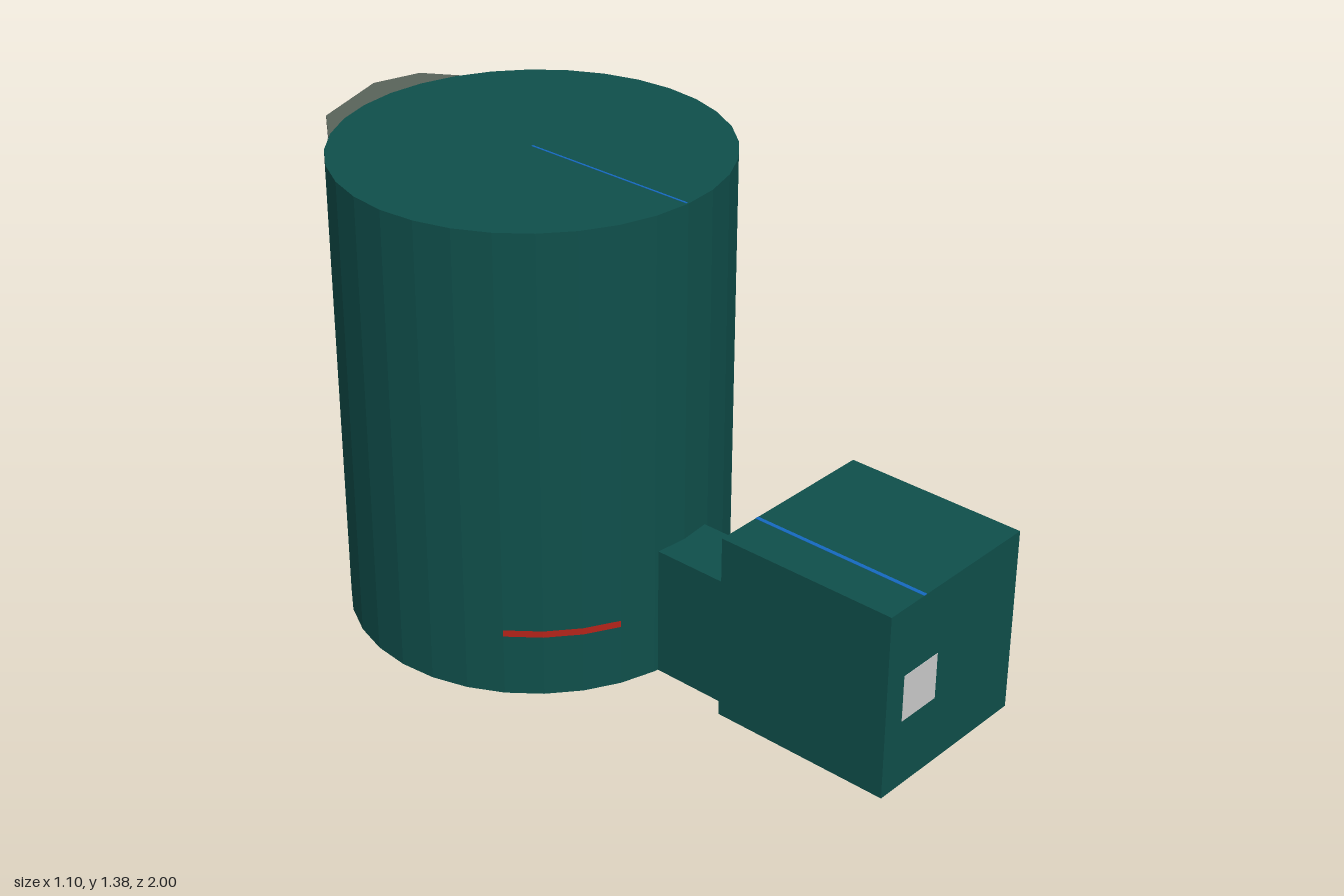
import * as THREE from 'three';
import { ConvexGeometry } from 'three/addons/geometries/ConvexGeometry.js';

const paint = (color) => new THREE.MeshStandardMaterial({ color, flatShading: true, side: THREE.DoubleSide });

export function createModel() {
  const group = new THREE.Group();
  const teal = paint(0x0f4f4b);
  const grey = paint(0xcccccc);
  const blue = paint(0x1569c0);
  const red = paint(0xb4231a);

  const add = (name, geometry, material, x = 0, y = 0, z = 0) => {
    const mesh = new THREE.Mesh(geometry, material);
    mesh.name = name;
    mesh.position.set(x, y, z);
    group.add(mesh);
    return mesh;
  };
  // Box given by its min and max corners
  const block = (name, a, b, material) => {
    const size = b.map((v, i) => v - a[i]);
    const mid = b.map((v, i) => (v + a[i]) / 2);
    return add(name, new THREE.BoxGeometry(...size), material, ...mid);
  };

  // Main masses: drum, linking corridor and front box
  const R = 0.55, CZ = -0.35, H = 1.38;
  add('drum', new THREE.CylinderGeometry(R, R, H, 32), teal, 0, H / 2, CZ);
  block('corridor', [-0.095, 0, 0.15], [0.095, 0.385, 0.46], teal);
  block('frontBox', [-0.14, 0, 0.45], [0.41, 0.555, 0.999], teal);

  // Flush panels on the front box
  block('frontPanel', [-0.07, 0.205, 0.99], [0.07, 0.345, 1], grey);
  block('sidePanel', [0.405, 0.17, 0.61], [0.411, 0.4, 0.96], paint(0xa8603a));

  // Thin centre lines on the roofs
  block('boxCentreLine', [-0.006, 0.55, 0.45], [0.006, 0.556, 0.999], blue);
  block('drumCentreLine', [-0.003, 1.375, CZ], [0.003, 1.381, 0.195], blue);

  // Red band around part of the drum
  const step = Math.PI / 16;
  add('redBand', new THREE.CylinderGeometry(R + 0.002, R + 0.002, 0.02, 3, 1, true, -5 * step, 3 * step),
    red, 0, 0.195, CZ);

  // Markings under the drum: two rings around a filled one
  [[0.45, 7], [0.44, 27], [0.45, 48]].forEach(([r, deg], i) => {
    const a = THREE.MathUtils.degToRad(deg);
    const ring = add('baseRing', new THREE.RingGeometry(i === 1 ? 0.01 : 0.056, 0.068, 24), grey,
      r * Math.cos(a), -0.001, CZ + r * Math.sin(a));
    ring.rotation.x = Math.PI / 2;
  });

  // Faceted balcony on the back rim: stacked layers of one outline
  const outline = [[-0.31, -0.81], [-0.22, -0.92], [0.03, -1], [0.17, -0.96], [0.26, -0.82], [0, -0.65]];
  const layer = (name, y0, s0, y1, s1, material) => {
    const points = [[y0, s0], [y1, s1]].flatMap(([y, s]) =>
      outline.map(([x, z]) => new THREE.Vector3(x * s, y, -0.75 + (z + 0.75) * s)));
    add(name, new ConvexGeometry(points), material);
  };
  layer('balconyRoof', 1.355, 1, 1.375, 1, paint(0x59645a));
  layer('balconyBand', 1.325, 0.92, 1.355, 0.92, paint(0xc8a80c));
  layer('balconyFloor', 1.305, 1, 1.325, 1, grey);
  layer('balconyHull', 1.21, 0.6, 1.305, 1, paint(0x8c8c8c));

  return group;
}
